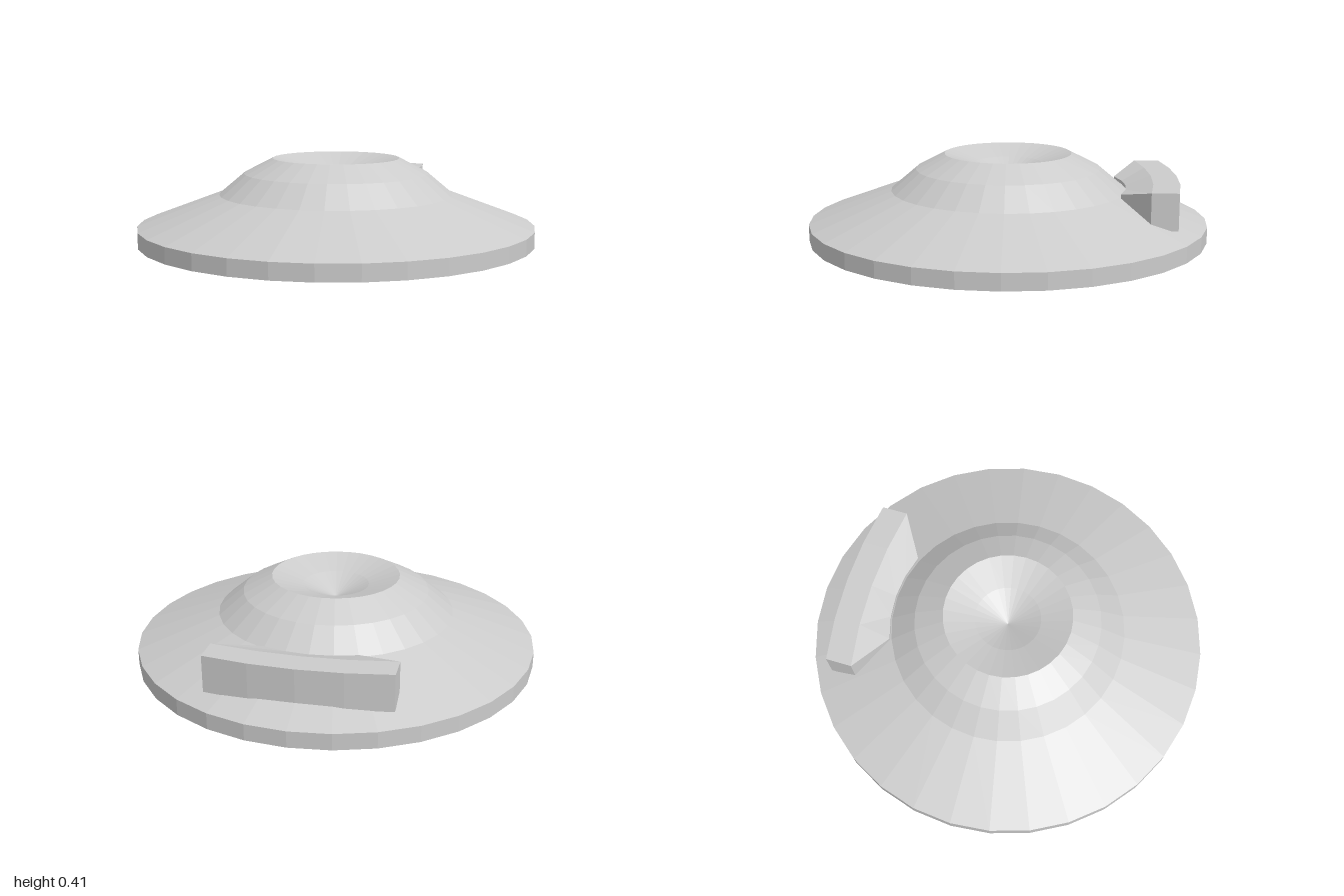
import * as THREE from 'three';

const material = new THREE.MeshStandardMaterial({ color: 0xcccccc, flatShading: true });

function addPart(group, name, geometry) {
  const mesh = new THREE.Mesh(geometry, material);
  mesh.name = name;
  group.add(mesh);
}

// Curved block lofted along its width; u runs from -1 to 1
function rearBlockGeometry() {
  const stations = [-1, -0.5, 0, 0.5, 1];
  const section = (u) => {
    const bow = 0.042 * u * u;
    return [
      [0.435 * u, 0.12, -0.85 + bow],   // back bottom
      [0.435 * u, 0.30, -0.85 + bow],   // back top
      [0.435 * u, 0.30, -0.72 + bow],   // ridge
      [0.23 * u, 0.25, -0.595 + bow],   // front lip
      [0.23 * u, 0.12, -0.595 + bow],   // front foot, inside the body
      [0.435 * u, 0.12, -0.72 + bow],   // underside
    ];
  };
  const n = 6;
  const positions = stations.flatMap(section).flat();
  const index = [];
  for (let s = 0; s < stations.length - 1; s++) {
    for (let i = 0; i < n; i++) {
      const a = s * n + i, b = s * n + (i + 1) % n;
      index.push(a, b, a + n, b, b + n, a + n);
    }
  }
  // End caps, each split along the ridge
  const last = (stations.length - 1) * n;
  for (const [i, j, k] of [[0, 1, 2], [0, 2, 5], [2, 3, 5], [3, 4, 5]]) {
    index.push(last + i, last + j, last + k, i, k, j);
  }
  const geometry = new THREE.BufferGeometry();
  geometry.setAttribute('position', new THREE.Float32BufferAttribute(positions, 3));
  geometry.setIndex(index);
  geometry.computeVertexNormals();
  return geometry;
}

export function createModel() {
  const model = new THREE.Group();
  model.name = 'crateredDisc';

  // Stepped mound with a flat base and a shallow crater
  const profile = [
    [0, 0], [1, 0], [1, 0.08], [0.59, 0.235], [0.465, 0.34],
    [0.32, 0.415], [0.165, 0.365], [0, 0.29],
  ].map(([r, y]) => new THREE.Vector2(r, y));
  addPart(model, 'body', new THREE.LatheGeometry(profile, 32));

  // Raised block on the rear slope
  addPart(model, 'rearBlock', rearBlockGeometry());
  return model;
}
